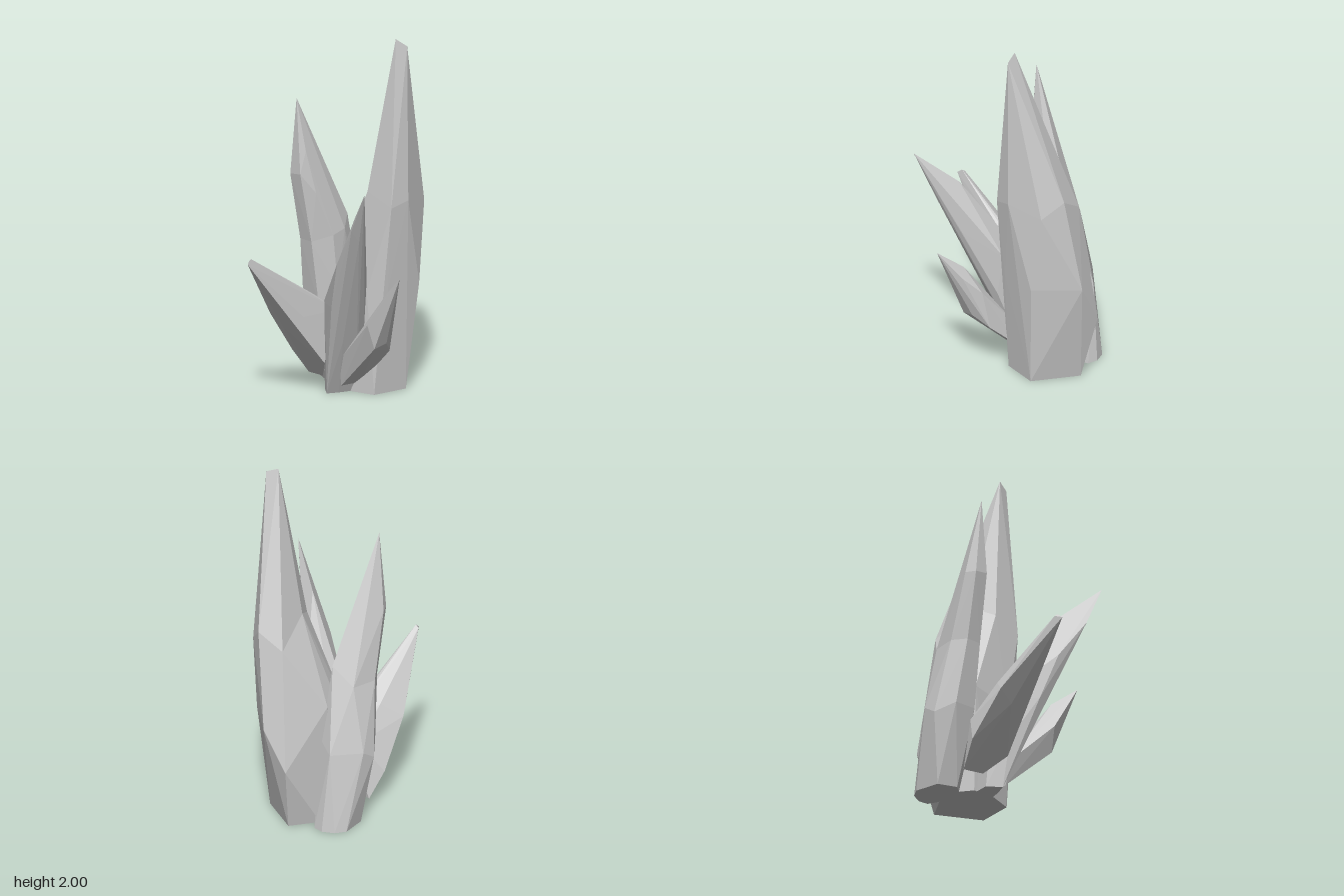
import * as THREE from 'three';
import { ConvexGeometry } from 'three/addons/geometries/ConvexGeometry.js';

const material = new THREE.MeshStandardMaterial({ color: 0xcccccc, flatShading: true });

// A faceted shard: the hull around rings of corners from foot to tip.
function shard(name, ...rings) {
  const points = rings.flat().map((p) => new THREE.Vector3(...p));
  const mesh = new THREE.Mesh(new ConvexGeometry(points), material);
  mesh.name = name;
  return mesh;
}

// A crystal with a waist: two shards that share the ring between them.
function waistedCrystal(name, lower, waist, upper) {
  const crystal = new THREE.Group();
  crystal.name = name;
  crystal.add(shard(name + 'Body', ...lower, waist), shard(name + 'Point', waist, ...upper));
  return crystal;
}

// Ring of corners at one height, from [x, z] pairs.
const level = (y, corners) => corners.map(([x, z]) => [x, y, z]);

export function createModel() {
  const group = new THREE.Group();
  group.name = 'crystalCluster';

  group.add(
    // Tallest crystal at the back, with a chisel tip
    waistedCrystal('tallCrystal',
      [
        level(0, [[0.07, -0.36], [0.07, -0.15], [-0.06, -0.09], [-0.2, -0.08], [-0.27, -0.16], [-0.27, -0.3], [-0.19, -0.46]]),
        [[-0.295, 0.7, -0.27], [-0.25, 0.37, -0.535], [-0.12, 0.6, -0.577], [0.11, 0.6, -0.42],
          [0.13, 0.6, -0.2], [0.05, 0.58, -0.115], [-0.2, 0.62, -0.065], [-0.26, 0.66, -0.16]],
      ],
      [[-0.085, 1.19, -0.265], [0, 1.13, -0.155], [0.175, 1.07, -0.19], [0.178, 1.1, -0.3],
        [0.08, 1.05, -0.475], [-0.03, 1.15, -0.535], [-0.165, 1.06, -0.48]],
      [[[0.11, 2, -0.265], [0.175, 1.97, -0.295]]]),

    // Upright crystal on the right side
    waistedCrystal('uprightCrystal',
      [
        level(0, [[-0.45, -0.27], [-0.42, -0.33], [-0.36, -0.37], [-0.3, -0.37], [-0.27, -0.32],
          [-0.22, -0.18], [-0.3, -0.1], [-0.41, -0.13]]),
        [[-0.47, 0.45, -0.165], [-0.465, 0.4, -0.085], [-0.38, 0.45, 0], [-0.25, 0.45, -0.01],
          [-0.2, 0.55, -0.1], [-0.28, 0.5, -0.3], [-0.37, 0.45, -0.32]],
      ],
      [[-0.39, 0.82, -0.165], [-0.4, 0.82, -0.02], [-0.34, 0.82, 0.05], [-0.25, 0.82, 0.04],
        [-0.2, 0.85, -0.07], [-0.22, 0.87, -0.16], [-0.28, 0.93, -0.22]],
      [
        [[-0.37, 1.2, 0.07], [-0.335, 1.2, 0.12], [-0.255, 1.21, 0.11], [-0.22, 1.1, 0.03], [-0.29, 1.2, -0.03]],
        [[-0.245, 1.34, 0.08], [-0.29, 1.635, 0.11]],
      ]),

    // Low crystal leaning to the front
    shard('frontCrystal',
      [[-0.345, 0.2, 0.1], [-0.33, 0.06, 0], [-0.2, 0.07, 0], [-0.085, 0.18, 0.07],
        [-0.13, 0.45, -0.05], [-0.19, 0.46, -0.06], [-0.27, 0.38, -0.02]],
      [[-0.29, 0.45, 0.285], [-0.2, 0.39, 0.26], [-0.095, 0.46, 0.2], [-0.14, 0.58, 0.13], [-0.23, 0.54, 0.17]],
      [[-0.12, 0.83, 0.545], [-0.1, 0.845, 0.545], [-0.09, 0.82, 0.575]]),

    // Large crystal leaning to the left
    shard('leaningCrystal',
      level(0, [[-0.18, 0], [-0.1, 0.045], [-0.08, -0.02], [-0.06, -0.12], [-0.18, -0.12]]),
      [[-0.15, 0.5, 0.03], [-0.07, 0.3, 0.075], [0.08, 0.55, 0.14], [0.06, 0.33, 0.05],
        [0.09, 0.42, -0.07], [0.07, 0.65, -0.1], [-0.1, 0.58, -0.06]],
      [[0.23, 1.08, 0.09], [0.18, 0.82, 0.175], [0.35, 1.05, 0.2], [0.34, 0.98, 0.14], [0.25, 0.8, 0.04]],
      [[0.46, 1.28, 0.19]]),

    // Small crystal leaning to the left
    shard('smallCrystal',
      [[-0.04, 0.05, -0.01], [-0.04, 0.05, -0.14], [0.02, 0.12, -0.165], [0.05, 0.28, -0.15], [-0.02, 0.2, 0.02]],
      [[0.27, 0.33, -0.01], [0.27, 0.35, -0.09], [0.2, 0.28, -0.16], [0.24, 0.5, -0.145],
        [0.34, 0.6, -0.105], [0.31, 0.65, -0.07], [0.26, 0.47, 0.03]],
      [[0.465, 0.77, -0.04]]),
  );
  return group;
}
